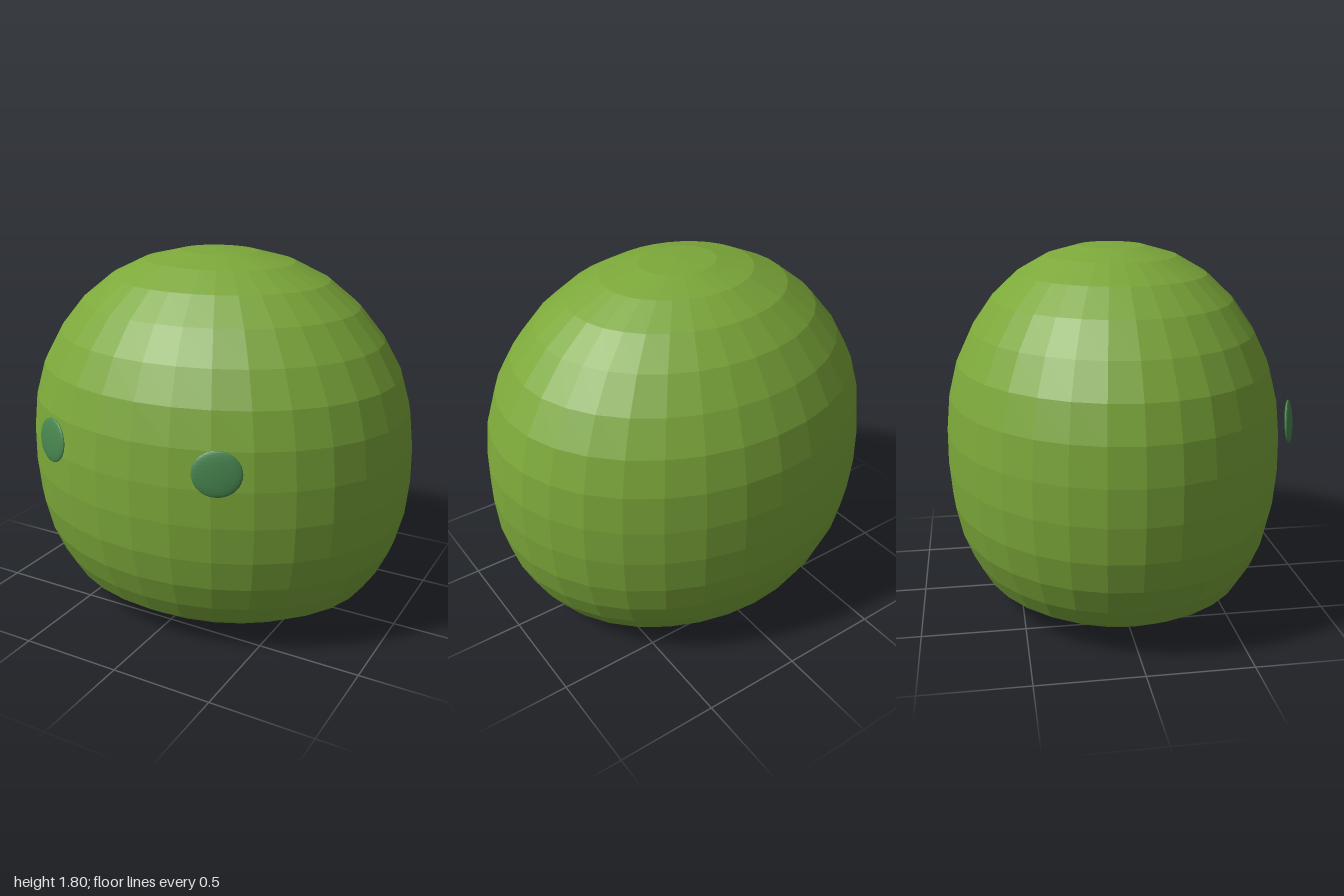
import * as THREE from 'three';

export function createModel() {
  const model = new THREE.Group();
  model.name = 'roundCreature';

  const skin = new THREE.MeshStandardMaterial({ color: 0x7ca83a, flatShading: true });
  skin.name = 'leaf green';
  const eyeGreen = new THREE.MeshStandardMaterial({ color: 0x48864f, flatShading: true });
  eyeGreen.name = 'dark green';

  // Body: domed top, fuller lower half and a flat base, as [radius, height]
  const profile = [
    [0, 0], [0.42, 0.005], [0.58, 0.033], [0.7, 0.08], [0.82, 0.152], [0.885, 0.25],
    [0.945, 0.38], [0.983, 0.53], [1, 0.705], [0.998, 0.88], [0.977, 1.06],
    [0.926, 1.23], [0.835, 1.39], [0.71, 1.54], [0.558, 1.66], [0.384, 1.743],
    [0.195, 1.788], [0, 1.8],
  ].map(([r, y]) => new THREE.Vector2(r, y));
  const body = new THREE.Mesh(new THREE.LatheGeometry(profile, 32), skin);
  body.name = 'body';
  body.scale.z = 0.838;
  body.position.z = -0.006;
  model.add(body);

  // Eyes: flattened discs following the curve of the face
  const eyeShape = new THREE.SphereGeometry(1, 32, 16);
  for (const [name, x, turn] of [['leftEye', 0.425, -1], ['rightEye', -0.449, 1]]) {
    const eye = new THREE.Mesh(eyeShape, eyeGreen);
    eye.name = name;
    eye.scale.set(0.112, 0.104, 0.016);
    eye.rotation.set(-0.1, turn * -0.42, 0, 'YXZ');
    eye.position.set(x, 0.98, 0.79);
    model.add(eye);
  }
  return model;
}
